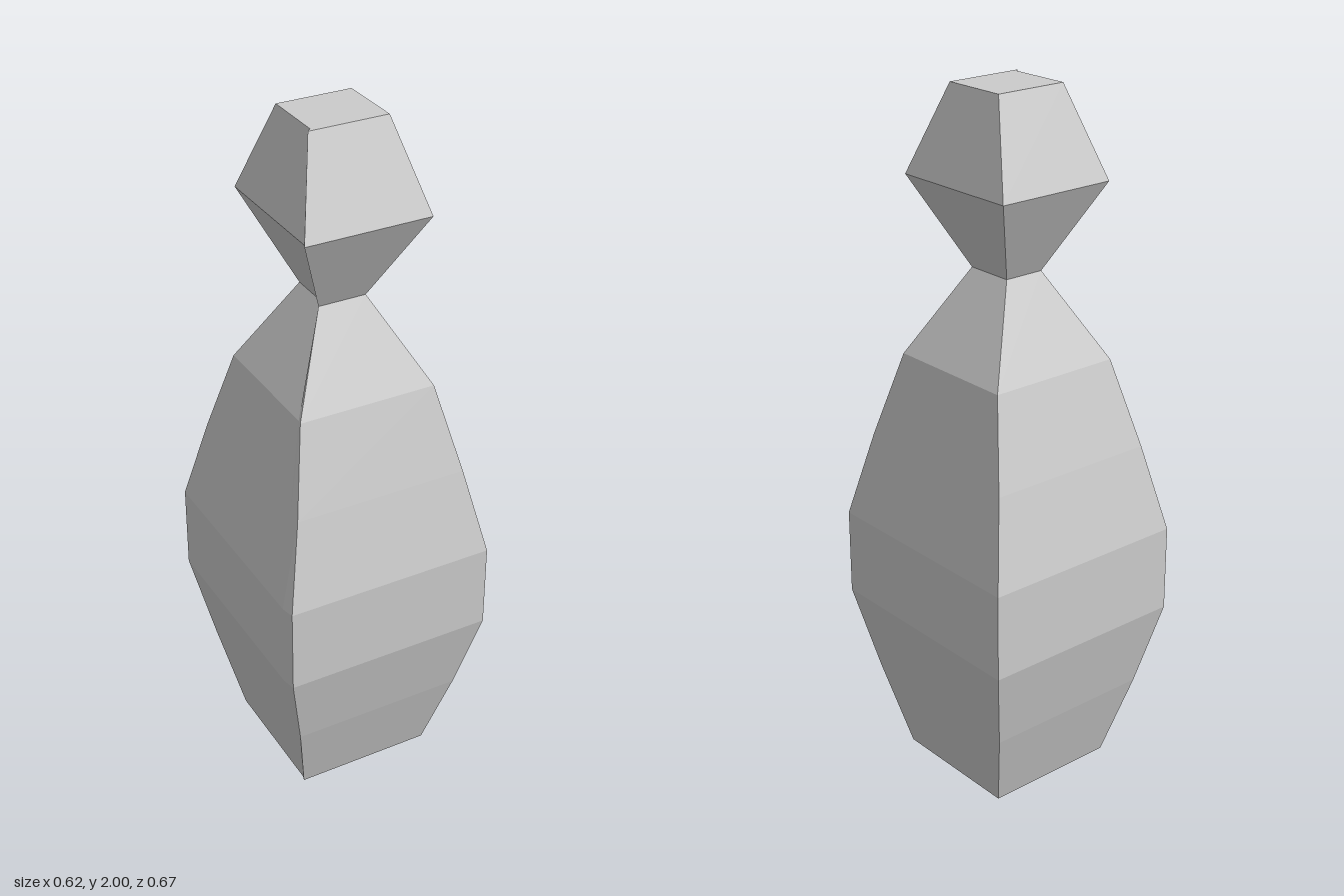
import * as THREE from 'three';

// Levels of the body: height, half width, half depth, then the front-left
// corner's seam as the ends of the front face (ax) and the side face (bz).
const LEVELS = [
  [0, 0.2, 0.2, -0.205, 0.185],
  [0.25, 0.257, 0.273, -0.252, 0.24],
  [0.5, 0.311, 0.333, -0.303, 0.294],
  [0.75, 0.311, 0.333, -0.303, 0.294],
  [1, 0.257, 0.273, -0.252, 0.24],
  [1.25, 0.2, 0.2, -0.203, 0.185],
  [1.5, 0.06, 0.072, -0.08, 0.06],
  [1.75, 0.18, 0.2, -0.186, 0.187],
  [2, 0.108, 0.097, -0.12, 0.085],
];

// Corner ring, counter-clockwise seen from above
function ring([y, w, d, ax, bz]) {
  return [[w, d], [w, -d], [-w, -d], [-w, bz], [ax, d]].map(([x, z]) => [x, y, z]);
}

// Skin between successive rings, closed by a cap at each end
function loft(rings) {
  const pos = [];
  const tri = (a, b, c) => pos.push(...a, ...b, ...c);
  const n = rings[0].length;
  for (let k = 0; k < rings.length - 1; k++) {
    const lo = rings[k], hi = rings[k + 1];
    for (let i = 0; i < n; i++) {
      const j = (i + 1) % n;
      tri(lo[i], lo[j], hi[j]);
      tri(lo[i], hi[j], hi[i]);
    }
  }
  const base = rings[0], top = rings[rings.length - 1];
  for (let i = 1; i < n - 1; i++) {
    tri(base[0], base[i + 1], base[i]);
    tri(top[0], top[i], top[i + 1]);
  }
  const geometry = new THREE.BufferGeometry();
  geometry.setAttribute('position', new THREE.Float32BufferAttribute(pos, 3));
  geometry.computeVertexNormals();
  return geometry;
}

export function createModel() {
  const group = new THREE.Group();
  group.name = 'squareVase';
  const material = new THREE.MeshStandardMaterial({
    color: 0xcccccc, flatShading: true, side: THREE.DoubleSide,
  });
  // Swelling body, pinched neck and flared head in one faceted skin
  const body = new THREE.Mesh(loft(LEVELS.map(ring)), material);
  body.name = 'vaseBody';
  group.add(body);
  return group;
}
